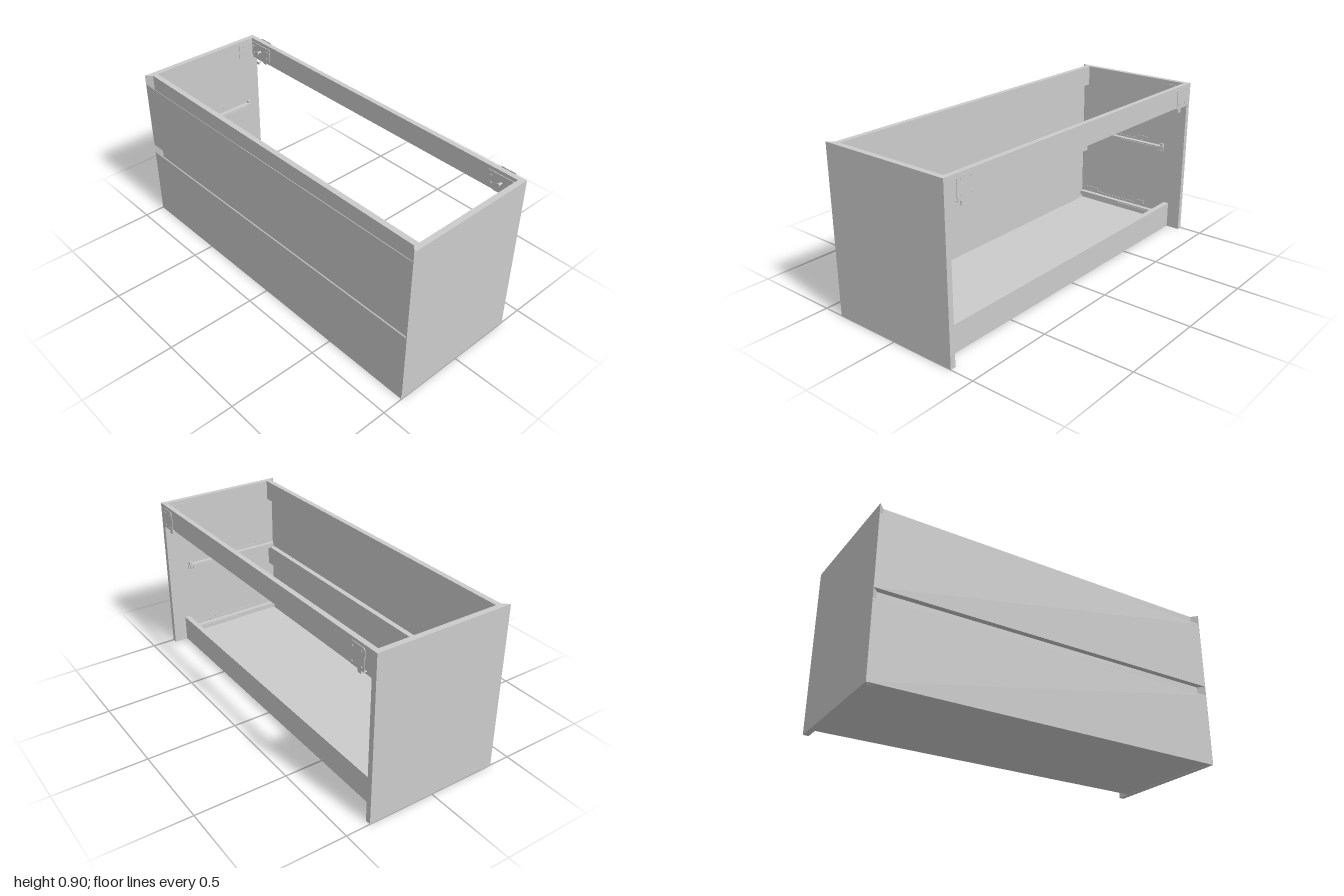
import * as THREE from 'three';

const material = new THREE.MeshStandardMaterial({ color: 0xcccccc, flatShading: true, side: THREE.DoubleSide });

function add(parent, name, geometry, x = 0, y = 0, z = 0) {
  const mesh = new THREE.Mesh(geometry, material);
  mesh.name = name;
  mesh.position.set(x, y, z);
  parent.add(mesh);
  return mesh;
}

// Box given by its limits on each axis
function block(parent, name, [x0, x1], [y0, y1], [z0, z1]) {
  return add(parent, name, new THREE.BoxGeometry(x1 - x0, y1 - y0, z1 - z0),
    (x0 + x1) / 2, (y0 + y1) / 2, (z0 + z1) / 2);
}

// Flat outline with round or slotted holes [u, v, radius, stretch]
function plate(points, holes, depth) {
  const shape = new THREE.Shape(points.map(([u, v]) => new THREE.Vector2(u, v)));
  for (const [u, v, r, stretch = 1] of holes) {
    const hole = new THREE.Path();
    hole.absellipse(u, v, r * stretch, r, 0, Math.PI * 2, true);
    shape.holes.push(hole);
  }
  return new THREE.ExtrudeGeometry(shape, { depth, bevelEnabled: false, curveSegments: 6 });
}

// Drawer front: ends mitred, top edge sloping down to the back as a finger grip
function drawerFront(parent, name, y0, y1) {
  const geometry = new THREE.BoxGeometry(1.996, y1 - y0, 0.032);
  const p = geometry.attributes.position;
  for (let i = 0; i < p.count; i++) {
    if (p.getZ(i) > 0) continue;
    p.setX(i, Math.sign(p.getX(i)) * 0.967);
    if (p.getY(i) > 0) p.setY(i, p.getY(i) - 0.032);
  }
  geometry.computeVertexNormals();
  add(parent, name, geometry, 0, (y0 + y1) / 2, 0.367);
}

// Runner with its wall bracket, for one side and level
function runner(parent, side, y) {
  const group = new THREE.Group();
  group.name = 'drawerRunner';
  const span = (a, b) => side > 0 ? [a, b] : [-b, -a];
  block(group, 'runnerWeb', span(0.928, 0.932), [y, y + 0.035], [-0.26, 0.32]);
  block(group, 'runnerTop', span(0.908, 0.932), [y + 0.032, y + 0.036], [-0.26, 0.32]);
  block(group, 'runnerLip', span(0.906, 0.91), [y + 0.012, y + 0.036], [-0.26, 0.32]);
  block(group, 'runnerSlide', span(0.913, 0.925), [y + 0.004, y + 0.026], [-0.25, 0.31]);
  block(group, 'runnerLatch', span(0.901, 0.905), [y + 0.008, y + 0.03], [-0.24, 0.03]);
  block(group, 'runnerHook', span(0.912, 0.928), [y + 0.036, y + 0.05], [-0.26, -0.245]);

  // Horizontal flange with slots, running along z
  const flange = plate([[0.935, -0.32], [0.969, -0.32], [0.969, 0.12], [0.935, 0.12]],
    [-0.06, -0.02, 0.02, 0.06].map((v) => [0.952, v, 0.009]), 0.003);
  flange.rotateX(-Math.PI / 2);
  if (side < 0) flange.rotateZ(Math.PI).translate(0, 0.003, 0);
  add(group, 'bracketFlange', flange, 0, y, 0);

  // Upright flange screwed to the cabinet side
  const upright = plate([[-0.32, 0], [0.12, 0], [0.12, 0.055], [0.06, 0.055], [0.05, 0.035],
    [-0.22, 0.035], [-0.23, 0.055], [-0.32, 0.055]],
  [[0.09, 0.035, 0.008], [0.02, 0.019, 0.007, 2], [-0.1, 0.019, 0.007, 2], [-0.27, 0.035, 0.008]], 0.003);
  upright.rotateY(Math.PI / 2);
  add(group, 'bracketUpright', upright, side > 0 ? 0.966 : -0.969, y, 0);
  parent.add(group);
}

// Wall hanger at one back corner
function hanger(parent, side) {
  const group = new THREE.Group();
  group.name = 'wallHanger';
  const span = (a, b) => side > 0 ? [a, b] : [-b, -a];
  const cx = side * 0.888;

  // Outer wall plate with rounded-off corners and a folded lower edge
  add(group, 'wallPlate', plate(
    [[-0.05, 0], [0.05, 0], [0.05, 0.105], [0.04, 0.115], [-0.04, 0.115], [-0.05, 0.105]],
    [[-0.032, 0.02, 0.006], [0.032, 0.02, 0.006], [-0.032, 0.095, 0.006], [0.032, 0.095, 0.006]], 0.003),
  cx, 0.785, -0.383);
  block(group, 'wallPlateFold', span(0.838, 0.938), [0.785, 0.788], [-0.383, -0.368]);
  block(group, 'hangingHook', span(0.875, 0.9), [0.755, 0.79], [-0.37, -0.362]);

  // Inner plate against the back rail and its side flange
  add(group, 'innerPlate', plate(
    [[-0.08, 0.02], [-0.04, 0], [0.04, 0], [0.08, 0.02], [0.08, 0.1], [-0.08, 0.1]],
    [[-0.06, 0.08, 0.007], [0.06, 0.08, 0.007], [-0.055, 0.04, 0.007], [0.055, 0.04, 0.007]], 0.004),
  cx, 0.785, -0.34);
  const flange = plate([[0.24, 0.02], [0.34, 0], [0.34, 0.1], [0.24, 0.1]],
    [[0.265, 0.08, 0.006], [0.265, 0.04, 0.006], [0.31, 0.08, 0.006]], 0.003);
  flange.rotateY(Math.PI / 2);
  add(group, 'sideFlange', flange, side > 0 ? 0.966 : -0.969, 0.785, 0);

  // Adjusting screws
  for (const [y, r, length] of [[0.845, 0.006, 0.026], [0.78, 0.005, 0.022]]) {
    const shaft = new THREE.CylinderGeometry(r, r, length, 10).rotateX(Math.PI / 2);
    add(group, 'adjustingScrew', shaft, cx, y, -0.336 + length / 2);
    const head = new THREE.CylinderGeometry(r * 2, r * 2, 0.005, 12).rotateX(Math.PI / 2);
    add(group, 'screwHead', head, cx, y, -0.336 + length);
  }
  parent.add(group);
}

export function createModel() {
  const cabinet = new THREE.Group();
  cabinet.name = 'vanityCabinet';
  const inner = [-0.97, 0.97];

  for (const side of [1, -1]) {
    // Side panel with a mitred front edge
    const panel = plate([[0.97, 0.368], [1, 0.368], [1, -0.383], [0.97, -0.351]]
      .map(([x, v]) => [x * side, v]), [], 0.905);
    panel.rotateX(-Math.PI / 2);
    add(cabinet, 'sidePanel', panel);

    for (const y of [0.065, 0.485]) runner(cabinet, side, y);
    hanger(cabinet, side);
  }

  // Carcass rails and bottom
  block(cabinet, 'bottomPanel', inner, [0.002, 0.032], [-0.26, 0.351]);
  block(cabinet, 'lowerBackRail', inner, [0.002, 0.15], [-0.29, -0.26]);
  block(cabinet, 'upperBackRail', inner, [0.785, 0.905], [-0.368, -0.34]);
  block(cabinet, 'topFrontRail', inner, [0.79, 0.905], [0.32, 0.35]);
  block(cabinet, 'middleFrontRail', inner, [0.36, 0.475], [0.32, 0.35]);

  // Drawer fronts
  drawerFront(cabinet, 'lowerDrawerFront', 0, 0.405);
  drawerFront(cabinet, 'upperDrawerFront', 0.457, 0.852);

  return cabinet;
}
